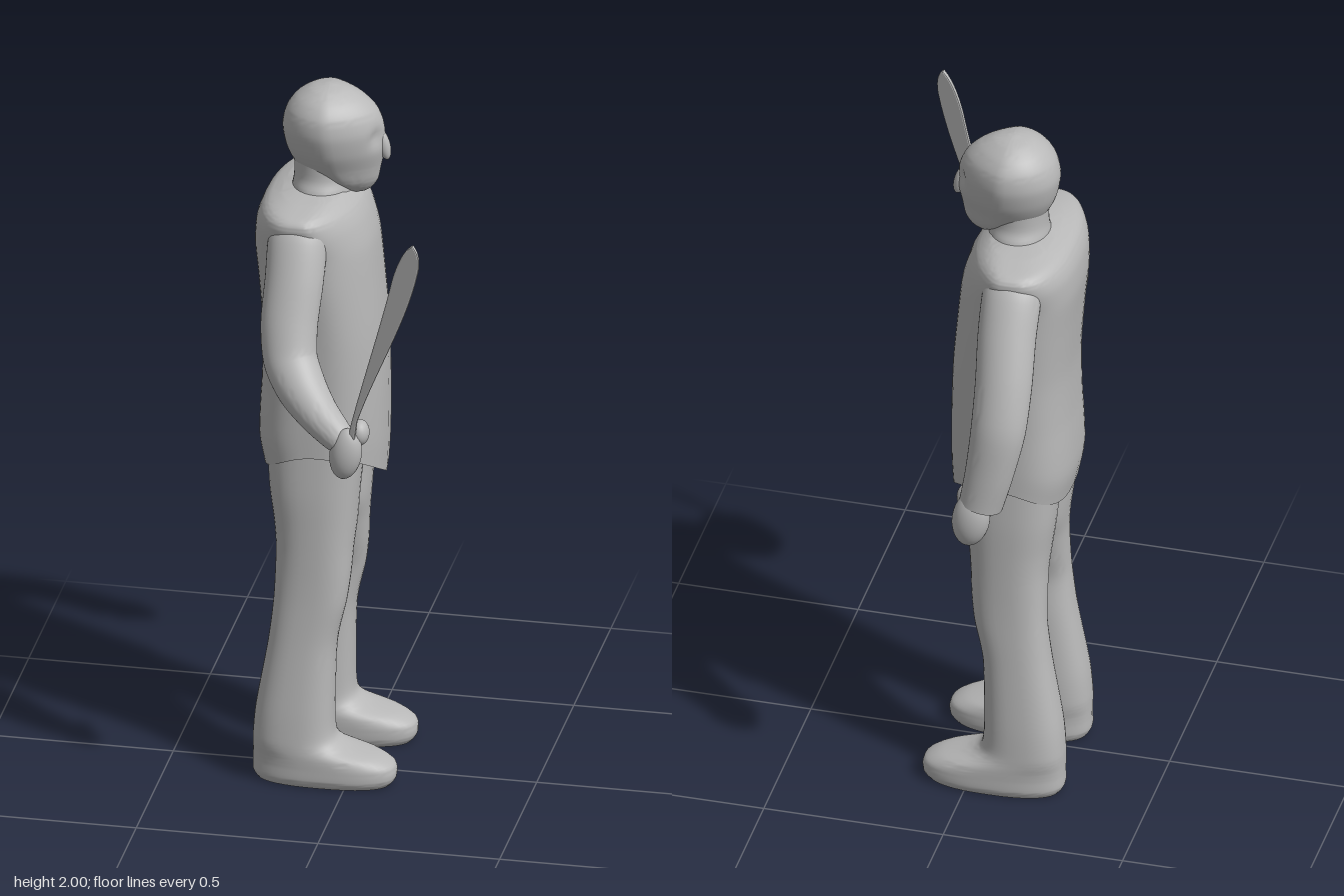
import * as THREE from 'three';
import { toCreasedNormals } from 'three/addons/utils/BufferGeometryUtils.js';

const clay = new THREE.MeshStandardMaterial({ color: 0xb8b8b8 });
clay.name = 'clay grey';
const MID = -0.062; // z of the body's plane of symmetry

// Smooth tube through sections [x, y, z, radiusA, radiusB]; n squares off the rings.
// level keeps every ring horizontal; rule may move each vertex.
function loft(sections, { n = 2, level = false, rule = null, sides = 40, steps = 5 } = {}) {
  const path = new THREE.CatmullRomCurve3(sections.map(s => new THREE.Vector3(s[0], s[1], s[2])), false, 'catmullrom', 0.4);
  const size = new THREE.CatmullRomCurve3(sections.map(s => new THREE.Vector3(s[3], s[4], 0)), false, 'catmullrom', 0.4);
  const rows = (sections.length - 1) * steps;
  const pos = [], index = [];
  const bend = (c, e) => Math.sign(c) * Math.abs(c) ** (2 / e);
  const push = (p, c, r) => {
    if (rule) rule(p, c, r);
    pos.push(p.x, p.y, p.z);
  };
  for (let i = 0; i <= rows; i++) {
    const t = i / rows, c = path.getPoint(t), r = size.getPoint(t);
    const dir = level ? new THREE.Vector3(0, 1, 0) : path.getTangent(t);
    const a = new THREE.Vector3(1, 0, 0).addScaledVector(dir, -dir.x).normalize();
    const b = dir.clone().cross(a);
    for (let j = 0; j < sides; j++) {
      const q = (j / sides) * Math.PI * 2;
      const p = c.clone().addScaledVector(a, bend(Math.cos(q), n) * r.x).addScaledVector(b, bend(Math.sin(q), n) * r.y);
      push(p, c, r);
    }
  }
  for (let i = 0; i < rows; i++) {
    for (let j = 0; j < sides; j++) {
      const k = (j + 1) % sides, A = i * sides, B = A + sides;
      index.push(A + j, A + k, B + k, A + j, B + k, B + j);
    }
  }
  // end caps
  const base = (rows + 1) * sides, last = rows * sides;
  [0, 1].forEach(t => { const c = path.getPoint(t); push(c.clone(), c, size.getPoint(t)); });
  for (let j = 0; j < sides; j++) {
    const k = (j + 1) % sides;
    index.push(base, k, j, base + 1, last + j, last + k);
  }
  const g = new THREE.BufferGeometry();
  g.setAttribute('position', new THREE.Float32BufferAttribute(pos, 3));
  g.setIndex(index);
  return toCreasedNormals(g, 0.9);
}

// Level section from its height, back and front x, and two z offsets from the middle
const slab = (y, x0, x1, z0, z1) => [(x0 + x1) / 2, y, MID + (z0 + z1) / 2, (x1 - x0) / 2, Math.abs(z1 - z0) / 2];

export function createModel() {
  const model = new THREE.Group();
  const add = (name, geometry) => {
    const mesh = new THREE.Mesh(geometry, clay);
    mesh.name = name;
    model.add(mesh);
    return mesh;
  };
  const blob = (name, x, y, z, rx, ry, rz, tilt = 0) => {
    const m = add(name, new THREE.SphereGeometry(1, 24, 16));
    m.position.set(x, y, z);
    m.scale.set(rx, ry, rz);
    m.rotation.z = tilt;
  };

  // tunic: flat back, rounded chest, hem pointed at the front
  const torso = [
    [0.97, -0.25, 0.075, 0.2], [1.03, -0.265, 0.08, 0.2], [1.15, -0.258, 0.08, 0.2], [1.3, -0.255, 0.075, 0.205],
    [1.45, -0.265, 0.062, 0.215], [1.56, -0.275, 0.05, 0.222], [1.63, -0.27, 0.03, 0.24], [1.67, -0.255, 0.01, 0.246],
    [1.69, -0.235, -0.01, 0.225], [1.705, -0.2, -0.03, 0.15],
  ].map(([y, b, f, w]) => slab(y, b, f, -w, w));
  add('tunic', loft(torso, {
    n: 3.2, level: true, sides: 64,
    rule: (p, c, r) => {
      const u = (p.x - c.x) / r.x, d = Math.abs(p.z - MID) / 0.22;
      if (u > 0) p.x -= 0.05 * u * d * d;
      else p.x -= 0.02 * u * d * d;
      if (p.y < 1.1) p.y -= ((1.1 - p.y) / 0.13) * u * u * (u > 0 ? 0.11 * Math.max(0, 1 - d) : 0.07);
    },
  }));

  add('neck', loft([[-0.1, 1.62, MID, 0.095, 0.12], [-0.1, 1.7, MID, 0.083, 0.098], [-0.1, 1.74, MID, 0.078, 0.08],
    [-0.1, 1.83, MID, 0.08, 0.08]], { level: true }));

  // head: egg narrowing to the face, with hollow eye sockets
  const skull = [
    [1.692, -0.03, 0.02, 0.02], [1.705, -0.06, 0.037, 0.037], [1.73, -0.12, 0.052, 0.062], [1.77, -0.175, 0.06, 0.085],
    [1.82, -0.2, 0.07, 0.11], [1.88, -0.21, 0.07, 0.125], [1.93, -0.198, 0.05, 0.12], [1.965, -0.172, 0.015, 0.095],
    [1.99, -0.133, -0.03, 0.055], [2.0, -0.09, -0.07, 0.01],
  ].map(([y, b, f, w]) => slab(y, b, f, -w, w));
  add('head', loft(skull, {
    level: true, sides: 48,
    rule: (p, c, r) => {
      const u = (p.x - c.x) / r.x, dz = p.z - MID;
      if (u > 0) p.z = MID + dz * (1 - 0.3 * u);
      const e = ((p.y - 1.865) / 0.025) ** 2 + ((Math.abs(p.z - MID) - 0.035) / 0.02) ** 2;
      if (u > 0) p.x -= 0.014 * Math.exp(-e);
    },
  }));
  blob('nose', 0.066, 1.83, MID, 0.018, 0.045, 0.017, 0.25);

  // legs: trousers and shoe in one sweep, from the sole up
  for (const s of [1, -1]) {
    const leg = [
      [0, -0.25, 0.115, 0.065, 0.22], [0.02, -0.262, 0.13, 0.056, 0.23], [0.055, -0.262, 0.127, 0.054, 0.231],
      [0.08, -0.262, 0.085, 0.054, 0.231], [0.105, -0.262, 0.0, 0.055, 0.23], [0.135, -0.261, -0.035, 0.055, 0.229],
      [0.22, -0.253, -0.04, 0.055, 0.224], [0.4, -0.222, -0.035, 0.06, 0.208], [0.52, -0.208, -0.01, 0.065, 0.2],
      [0.6, -0.205, 0, 0.045, 0.197], [0.68, -0.205, 0.005, 0.02, 0.196], [0.75, -0.212, 0.012, -0.004, 0.196],
      [0.85, -0.225, 0.02, -0.006, 0.196], [1.0, -0.235, 0.035, -0.006, 0.19],
    ].map(([y, b, f, i, o]) => slab(y, b, f, s * i, s * o));
    add(s > 0 ? 'swordSideLeg' : 'freeSideLeg', loft(leg, { n: 2.5, level: true }));
  }

  // free arm hanging down
  add('freeArm', loft([
    [-0.13, 1.67, -0.22, 0.06, 0.04], [-0.13, 1.62, -0.265, 0.08, 0.06], [-0.13, 1.52, -0.318, 0.08, 0.064],
    [-0.135, 1.4, -0.372, 0.078, 0.064], [-0.132, 1.28, -0.418, 0.075, 0.058], [-0.112, 1.15, -0.438, 0.066, 0.05],
    [-0.09, 1.05, -0.44, 0.06, 0.052],
  ]));
  blob('freeHand', -0.065, 1.005, -0.452, 0.052, 0.085, 0.042, 0.15);
  blob('freeThumb', -0.045, 1.045, -0.41, 0.03, 0.04, 0.03);

  // sword arm bent forward at the elbow
  add('swordArm', loft([
    [-0.13, 1.67, 0.1, 0.06, 0.04], [-0.13, 1.62, 0.135, 0.08, 0.06], [-0.13, 1.52, 0.182, 0.08, 0.06],
    [-0.135, 1.41, 0.225, 0.078, 0.06], [-0.125, 1.32, 0.258, 0.074, 0.062], [-0.085, 1.255, 0.3, 0.068, 0.062],
    [-0.03, 1.205, 0.347, 0.056, 0.052], [0.035, 1.16, 0.39, 0.043, 0.042], [0.06, 1.145, 0.405, 0.03, 0.03],
  ]));
  blob('swordHand', 0.058, 1.125, 0.41, 0.044, 0.075, 0.035, -0.15);
  blob('swordThumb', 0.092, 1.18, 0.385, 0.026, 0.036, 0.033);

  // blade: broad near the tip, swung outward as it leans forward
  const outline = new THREE.Shape();
  outline.moveTo(0.05, 1.1);
  outline.lineTo(0.075, 1.1);
  outline.lineTo(0.093, 1.23);
  outline.bezierCurveTo(0.15, 1.4, 0.24, 1.56, 0.274, 1.72);
  outline.quadraticCurveTo(0.284, 1.775, 0.258, 1.797);
  outline.quadraticCurveTo(0.222, 1.77, 0.197, 1.68);
  outline.bezierCurveTo(0.17, 1.56, 0.11, 1.36, 0.075, 1.22);
  const blade = new THREE.ExtrudeGeometry(outline, {
    depth: 0.006, bevelEnabled: true, bevelThickness: 0.005, bevelSize: 0.004, bevelOffset: -0.004, bevelSegments: 2, curveSegments: 14,
  });
  const bp = blade.attributes.position;
  for (let i = 0; i < bp.count; i++) bp.setZ(i, bp.getZ(i) - 0.003 + 0.413 + 0.37 * (bp.getX(i) - 0.06));
  blade.computeVertexNormals();
  add('swordBlade', blade);

  return model;
}
